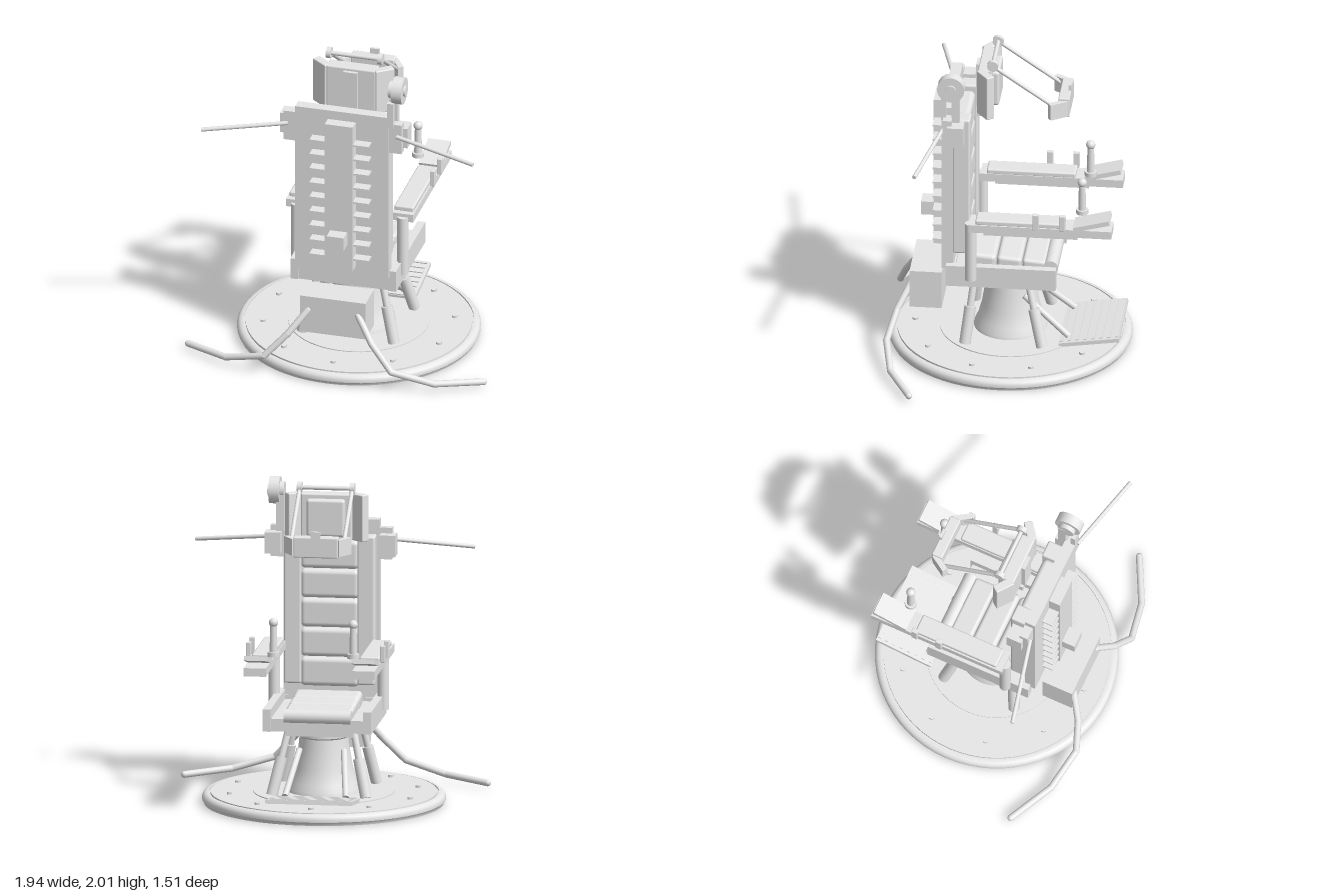
import * as THREE from 'three';
import { toCreasedNormals } from 'three/addons/utils/BufferGeometryUtils.js';
import { RoundedBoxGeometry } from 'three/addons/geometries/RoundedBoxGeometry.js';

const V = (x, y, z) => new THREE.Vector3(x, y, z);

export function createModel() {
  const root = new THREE.Group();
  root.name = 'mechanicalChair';
  const grey = new THREE.MeshStandardMaterial({ color: 0xe7e7e7 });
  grey.name = 'light grey';

  const add = (name, geo, parent = root) => {
    const m = new THREE.Mesh(geo, grey);
    m.name = name;
    parent.add(m);
    return m;
  };
  // Boxes are given by their extents: [min, max] on each axis
  const extents = (make, name, x, y, z, parent) => {
    const m = add(name, make(x[1] - x[0], y[1] - y[0], z[1] - z[0]), parent);
    m.position.set((x[0] + x[1]) / 2, (y[0] + y[1]) / 2, (z[0] + z[1]) / 2);
    return m;
  };
  const box = (...a) => extents((w, h, d) => new THREE.BoxGeometry(w, h, d), ...a);
  const rounded = k => (...a) => extents((w, h, d) =>
    new RoundedBoxGeometry(w, h, d, 3, Math.min(w, h, d) * k), ...a);
  const soft = rounded(0.3), firm = rounded(0.12);
  const rod = (name, a, b, r, parent, r2 = r) => {
    const m = add(name, new THREE.CylinderGeometry(r2, r, a.distanceTo(b), 16), parent);
    m.position.lerpVectors(a, b, 0.5);
    m.quaternion.setFromUnitVectors(V(0, 1, 0), b.clone().sub(a).normalize());
    return m;
  };
  const ball = (name, p, r, parent) => add(name, new THREE.SphereGeometry(r, 16, 12), parent).position.copy(p);
  const lathe = (name, pts) => add(name, toCreasedNormals(
    new THREE.LatheGeometry(pts.map(p => new THREE.Vector2(...p)), 64), 0.6));

  // Round base with a grooved rim, inner disc and bolts
  lathe('base', [[0, 0], [0.745, 0], [0.748, 0.012], [0.756, 0.022], [0.757, 0.04], [0.75, 0.055], [0.738, 0.065],
    [0.722, 0.069], [0.715, 0.069], [0.715, 0.058], [0.704, 0.058], [0.704, 0.072], [0, 0.072]]);
  lathe('innerDisc', [[0.44, 0.07], [0.44, 0.078], [0, 0.078]]);
  for (let i = 0; i < 10; i++) {
    const a = (18 + 36 * i) * Math.PI / 180, x = Math.cos(a) * 0.595, z = Math.sin(a) * 0.595;
    add('baseBolt', new THREE.CylinderGeometry(0.018, 0.018, 0.02, 6)).position.set(x, 0.076, z);
  }

  // Flared pedestal and mounting plate
  lathe('pedestal', [[0.23, 0.075], [0.225, 0.1], [0.205, 0.14], [0.18, 0.23], [0.158, 0.36], [0.152, 0.42],
    [0.165, 0.43], [0.165, 0.46], [0, 0.46]]);
  box('mountPlate', [-0.21, 0.21], [0.455, 0.505], [-0.21, 0.26]);

  // Seat frame and cushions
  box('seatFrame', [-0.3, 0.3], [0.5, 0.58], [-0.3, 0.36]);
  box('rearCrossbar', [-0.29, 0.29], [0.57, 0.605], [0.32, 0.37]);
  [[-0.24, -0.09], [-0.09, 0.07], [0.07, 0.25]].forEach(([a, b], i) => {
    const c = soft('seatCushion', [-0.21, 0.21], [0.565, 0.635 + i * 0.012], [a + 0.002, b - 0.002]);
    c.rotation.x = -0.08;
  });
  rod('seatFrontRoll', V(-0.21, 0.592, -0.27), V(0.21, 0.592, -0.27), 0.046);

  // Backrest plate, shoulder bar and horizontal pads
  box('backPlate', [-0.3, 0.3], [0.6, 1.73], [0.33, 0.4]);
  box('shoulderBar', [-0.38, 0.38], [1.48, 1.68], [0.33, 0.385]);
  for (let i = 0; i < 5; i++) {
    const y = 0.68 + i * 0.186;
    soft('backPad', [-0.185, 0.185], [y + 0.002, y + 0.184], [0.24, 0.345]);
  }

  // Spine cover with ribs and a small box
  box('spine', [-0.09, 0.09], [0.66, 1.67], [0.39, 0.472]);
  for (let i = 0; i < 9; i++) {
    const y = 0.74 + i * 0.1;
    box('spineRib', [-0.19, 0.19], [y - 0.006, y + 0.006], [0.39, 0.468]);
  }
  box('spineBox', [-0.055, 0.055], [0.84, 0.93], [0.465, 0.555]);

  // Rear power box
  box('powerBox', [-0.21, 0.21], [0.27, 0.52], [0.41, 0.61]);

  // Footrest with slats, tilted up toward its tip
  const foot = new THREE.Group();
  foot.name = 'footrest';
  foot.position.set(0, 0.112, -0.515);
  foot.rotation.x = 0.145;
  root.add(foot);
  box('footPlate', [-0.27, 0.27], [-0.015, 0.01], [-0.19, 0.19], foot);
  for (let i = 0; i < 8; i++) {
    const z = -0.175 + i * 0.05;
    box('footSlat', [-0.25, 0.25], [0.005, 0.017], [z - 0.01, z + 0.01], foot);
  }

  // Parts mirrored on both sides
  for (const s of [-1, 1]) {
    const side = new THREE.Group();
    side.name = s > 0 ? 'leftSide' : 'rightSide';
    root.add(side);
    const X = (a, b) => (s > 0 ? [a, b] : [-b, -a]);
    const P = (x, y, z) => V(s * x, y, z);

    // Struts between base and seat
    for (const [zt, zb] of [[0.205, 0.255], [-0.125, -0.225]]) {
      const lo = P(0.295, 0.08, zb), hi = P(0.2, 0.5, zt), mid = lo.clone().lerp(hi, 0.56);
      rod('strutSleeve', lo, mid, 0.036, side);
      rod('strutPiston', mid, hi, 0.022, side);
    }
    rod('footrestStrut', P(0.14, 0.35, -0.1), P(0.19, 0.11, -0.38), 0.02, side);

    // Seat rail, back bolster and shoulder block
    box('seatRail', X(0.29, 0.34), [0.5, 0.64], [-0.315, 0.37], side);
    firm('backBolster', X(0.175, 0.285), [0.7, 1.64], [0.225, 0.335], side);
    box('shoulderBlock', X(0.31, 0.41), [1.51, 1.645], [0.255, 0.355], side);
    rod('antenna', P(0.35, 1.6, 0.39), P(0.875, 1.54, 0.51), 0.013, side);

    // Armrest, pad, restraint tabs and tilted control panel
    rod('armPost', P(0.342, 0.555, 0.215), P(0.342, 0.95, 0.215), 0.036, side);
    box('armBeam', X(0.27, 0.41), [0.92, 0.972], [-0.67, 0.22], side);
    box('armUnderPlate', X(0.3, 0.38), [0.89, 0.922], [-0.455, 0.13], side);
    soft('armPad', X(0.275, 0.4), [0.965, 1.002], [-0.375, 0.18], side);
    for (const z of [-0.2, -0.365]) firm('armTab', X(0.405, 0.435), [0.97, 1.075], [z - 0.019, z + 0.019], side);
    const panel = box('controlPanel', X(0.265, 0.41), [0.987, 1.017], [-0.66, -0.43], side);
    panel.rotation.x = 0.26;

    // Joystick
    rod('joystickFlange', P(0.25, 1.012, -0.472), P(0.25, 1.04, -0.472), 0.038, side);
    rod('joystickStem', P(0.25, 1.03, -0.472), P(0.25, 1.23, -0.472), 0.025, side, 0.02);
    ball('joystickKnob', P(0.25, 1.225, -0.472), 0.029, side);

    // Cable trailing from the power box
    const path = [P(0.16, 0.425, 0.6), P(0.27, 0.28, 0.68), P(0.41, 0.13, 0.732), P(0.67, 0.058, 0.68), P(0.95, 0.04, 0.535)];
    path.forEach((p, i) => {
      if (i) rod('cable', path[i - 1], p, 0.021, side);
      ball('cableJoint', p, 0.021, side);
    });

    // Headrest wing, visor arm and visor wing
    const wing = firm('headrestWing', X(0.135, 0.26), [1.635, 1.93], [0.11, 0.165], side);
    wing.rotation.y = s * 0.65;
    rod('visorPivot', P(0.15, 1.97, 0.095), P(0.18, 1.97, 0.095), 0.035, side);
    rod('visorArm', P(0.165, 1.97, 0.095), P(0.165, 1.7, -0.295), 0.013, side);
    const visorWing = box('visorWing', X(0.105, 0.225), [1.63, 1.735], [-0.33, -0.295], side);
    visorWing.rotation.y = s * -1.0;
  }

  // Headrest with pad, rear strap and neck unit
  firm('headrest', [-0.16, 0.16], [1.635, 1.93], [0.1, 0.19]);
  soft('headPad', [-0.12, 0.12], [1.665, 1.9], [0.06, 0.12]);
  box('headrestStrap', [-0.045, 0.045], [1.62, 1.91], [0.18, 0.212]);
  box('neckUnit', [-0.06, 0.06], [1.555, 1.612], [0.155, 0.205]);
  box('neckUnitFace', [-0.04, 0.04], [1.565, 1.602], [0.125, 0.16]);

  // Visor hung from a pivot bar
  rod('visorPivotBar', V(-0.17, 1.97, 0.095), V(0.17, 1.97, 0.095), 0.014);
  firm('visor', [-0.14, 0.14], [1.62, 1.75], [-0.38, -0.31]);
  box('visorSensor', [-0.03, 0.03], [1.74, 1.785], [-0.38, -0.362]);

  // Single lamp pod on a post above the left shoulder
  box('podPost', [0.29, 0.34], [1.65, 1.91], [0.285, 0.335]);
  box('podBrace', [0.29, 0.33], [1.66, 1.83], [0.37, 0.4]);
  rod('podDrum', V(0.32, 1.9, 0.335), V(0.385, 1.9, 0.335), 0.086);
  rod('podCap', V(0.38, 1.9, 0.335), V(0.398, 1.9, 0.335), 0.035);
  rod('podHub', V(0.292, 1.9, 0.335), V(0.325, 1.9, 0.335), 0.055);

  return root;
}
